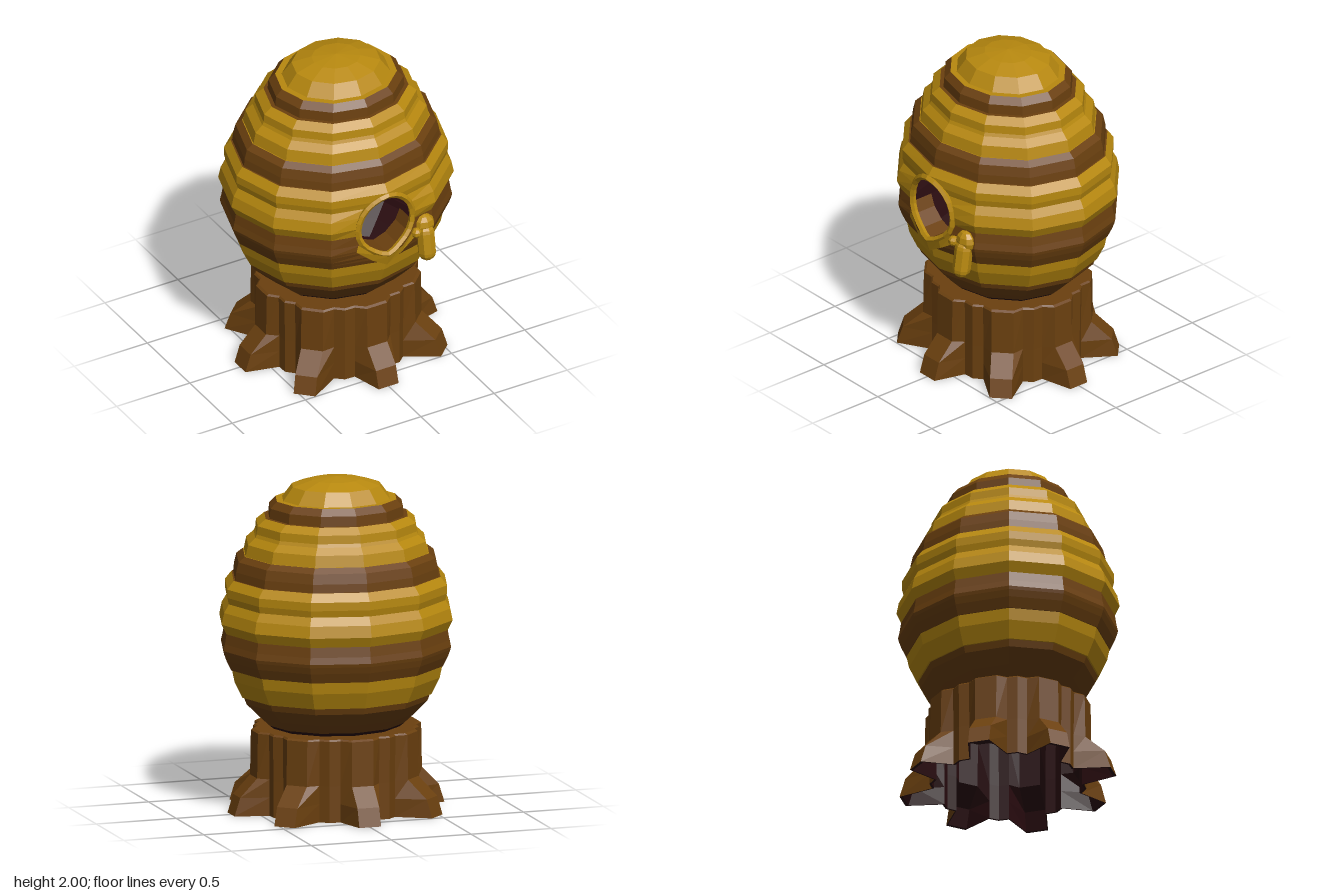
import * as THREE from 'three';

const mat = (name, color, extra = {}) => Object.assign(new THREE.MeshStandardMaterial({ color, flatShading: true, ...extra }), { name });

// Faceted surface through rows of points (rows go upward, points run counterclockwise seen from above)
function skin(rows, flip = false) {
  const pos = [];
  const tri = (a, b, c) => (flip ? [a, c, b] : [a, b, c]).forEach(p => pos.push(...p));
  for (let i = 0; i + 1 < rows.length; i++) {
    for (let j = 0; j + 1 < rows[i].length; j++) {
      const a = rows[i][j], b = rows[i][j + 1], c = rows[i + 1][j + 1], d = rows[i + 1][j];
      tri(a, b, c);
      tri(a, c, d);
    }
  }
  const g = new THREE.BufferGeometry();
  g.setAttribute('position', new THREE.Float32BufferAttribute(pos, 3));
  g.computeVertexNormals();
  return g;
}

// One twelve-sided ring of the hive; the front seam opens by h to each side for the doorway
function hiveRing([y, r, h = 0], scale = 1) {
  const ring = [];
  for (let k = 0; k <= 12; k++) {
    const t = k * Math.PI / 6;
    ring.push([r * scale * Math.sin(t), y, Math.min(0.61, 0.9 * r * Math.cos(t)) * scale]);
  }
  const open = (k, n, sign) => {
    const a = ring[k], b = ring[n], f = Math.abs(b[0]) > 0 ? h / Math.abs(b[0]) : 0;
    return [sign * h, y, a[2] + (b[2] - a[2]) * f];
  };
  const first = open(0, 1, 1), last = open(12, 11, -1);
  ring[0] = first;
  ring[12] = last;
  return ring;
}

// One ring of the fluted stump with eight roots
function stumpRing([y, root, valley], scale = 1) {
  const ring = [];
  const put = (a, r) => ring.push([r * scale * Math.sin(a), y, 0.945 * r * scale * Math.cos(a)]);
  for (let i = 0; i < 8; i++) {
    const a = i * Math.PI / 4, r = root * (i % 2 && root > 0.55 ? 1.03 : 1), w = root ? 0.068 / r : 0;
    put(a - 0.26, valley);
    put(a - w, r);
    put(a + w, r);
    put(a + 0.26, valley);
    put(a + Math.PI / 8, valley * 1.04);
  }
  ring.push(ring[0]);
  return ring;
}

export function createModel() {
  const model = new THREE.Group();
  const honey = mat('honey yellow', 0xb8890f, { side: THREE.DoubleSide });
  const brown = mat('bark brown', 0x6b400f);
  const dark = mat('dark hollow', 0x2a0c10);
  const add = (name, geometry, material, parent = model) => {
    const m = new THREE.Mesh(geometry, material);
    m.name = name;
    parent.add(m);
    return m;
  };

  // Hive bands: [height, radius, half-width of the doorway]
  const bands = [
    [dark, [[0.5, 0, 0], [0.5, 0.39], [0.52, 0.415]]],
    [brown, [[0.52, 0.415], [0.58, 0.48], [0.66, 0.56], [0.7, 0.575]]],
    [honey, [[0.7, 0.585], [0.8, 0.635], [0.87, 0.65]]],
    [brown, [[0.87, 0.655], [0.9, 0.67], [0.93, 0.685, 0], [0.97, 0.7, 0.08], [0.99, 0.705, 0.11], [1.03, 0.695, 0.15], [1.09, 0.685, 0.18]]],
    [honey, [[1.09, 0.685, 0.18], [1.15, 0.715, 0.18], [1.22, 0.7, 0.16], [1.27, 0.67, 0.12], [1.31, 0.68, 0.06], [1.335, 0.68, 0], [1.36, 0.68], [1.41, 0.64]]],
    [brown, [[1.41, 0.63], [1.46, 0.625], [1.52, 0.61], [1.55, 0.57]]],
    [honey, [[1.55, 0.565], [1.62, 0.55], [1.66, 0.505], [1.68, 0.495], [1.73, 0.49], [1.77, 0.44]]],
    [brown, [[1.77, 0.415], [1.83, 0.41], [1.87, 0.37]]],
    [honey, [[1.87, 0.33], [1.95, 0.27], [1.985, 0.15], [2, 0.0]]],
  ];
  const hive = new THREE.Group();
  hive.name = 'hive';
  model.add(hive);
  let previous = null;
  bands.forEach(([material, rows], i) => {
    // Start each band on the edge of the one below so the ledges close
    const list = previous ? [previous, ...rows] : rows;
    previous = rows[rows.length - 1];
    add('hiveBand' + (i + 1), skin(list.map(r => hiveRing(r))), material, hive);
  });
  add('hiveInside', skin(bands.flatMap(b => b[1]).map(r => hiveRing(r, 0.97)), true), dark, hive);

  // Doorway rim and the short sill behind it
  const half = [[0, 0.93], [0.08, 0.965], [0.155, 1.03], [0.185, 1.11], [0.165, 1.22], [0.1, 1.3]];
  const outline = [...half, [0, 1.345], ...half.slice(1).reverse().map(([x, y]) => [-x, y])];
  const rimZ = x => 0.612 - 0.18 * Math.abs(x);
  const rimCurve = new THREE.CatmullRomCurve3(outline.map(([x, y]) => new THREE.Vector3(x, y, rimZ(x))), true);
  add('doorwayRim', new THREE.TubeGeometry(rimCurve, 24, 0.02, 5, true), honey);
  const sill = [[-0.18, 1.1], [-0.15, 1.03], [-0.08, 0.965], [0, 0.935], [0.08, 0.965], [0.15, 1.03], [0.18, 1.1]];
  add('doorwaySill', skin([sill.map(([x, y]) => [x, y, rimZ(x)]), sill.map(([x, y]) => [x, y, 0.44])]), brown);

  // Honey spilling under the doorway
  const spillTop = [[-0.19, 1.04, 0.59], [-0.1, 0.96, 0.615], [0, 0.92, 0.625], [0.1, 0.96, 0.615], [0.2, 1.04, 0.59]];
  const spillLow = [[-0.2, 0.99, 0.587], [-0.1, 0.91, 0.602], [0, 0.85, 0.602], [0.1, 0.91, 0.602], [0.21, 0.98, 0.585]];
  add('honeySpill', skin([spillLow, spillTop]), honey);

  // Honey drip beside the doorway
  const drip = add('honeyDrip', new THREE.CapsuleGeometry(0.055, 0.13, 4, 8), honey);
  drip.position.set(0.28, 0.91, 0.58);
  drip.rotation.x = -0.14;
  const dripTop = add('honeyDripTop', new THREE.SphereGeometry(0.068, 8, 6), honey);
  dripTop.position.set(0.28, 1.02, 0.555);
  dripTop.scale.z = 0.75;
  const blob = add('honeyBlob', new THREE.SphereGeometry(0.033, 7, 5), honey);
  blob.position.set(0.207, 1.0, 0.59);

  // Hollow tree stump: [height, root radius, valley radius]
  const levels = [[0, 0.66, 0.47], [0.11, 0.625, 0.47], [0.22, 0.52, 0.47], [0.49, 0.515, 0.475]];
  add('stump', skin([...levels, [0.5, 0.5, 0.465], [0.5, 0, 0]].map(l => stumpRing(l))), brown);
  add('stumpInside', skin([...levels, [0.49, 0, 0]].map(l => stumpRing(l, 0.97)), true), dark);
  add('stumpFoot', skin([stumpRing(levels[0], 0.97), stumpRing(levels[0])]), dark);
  return model;
}
